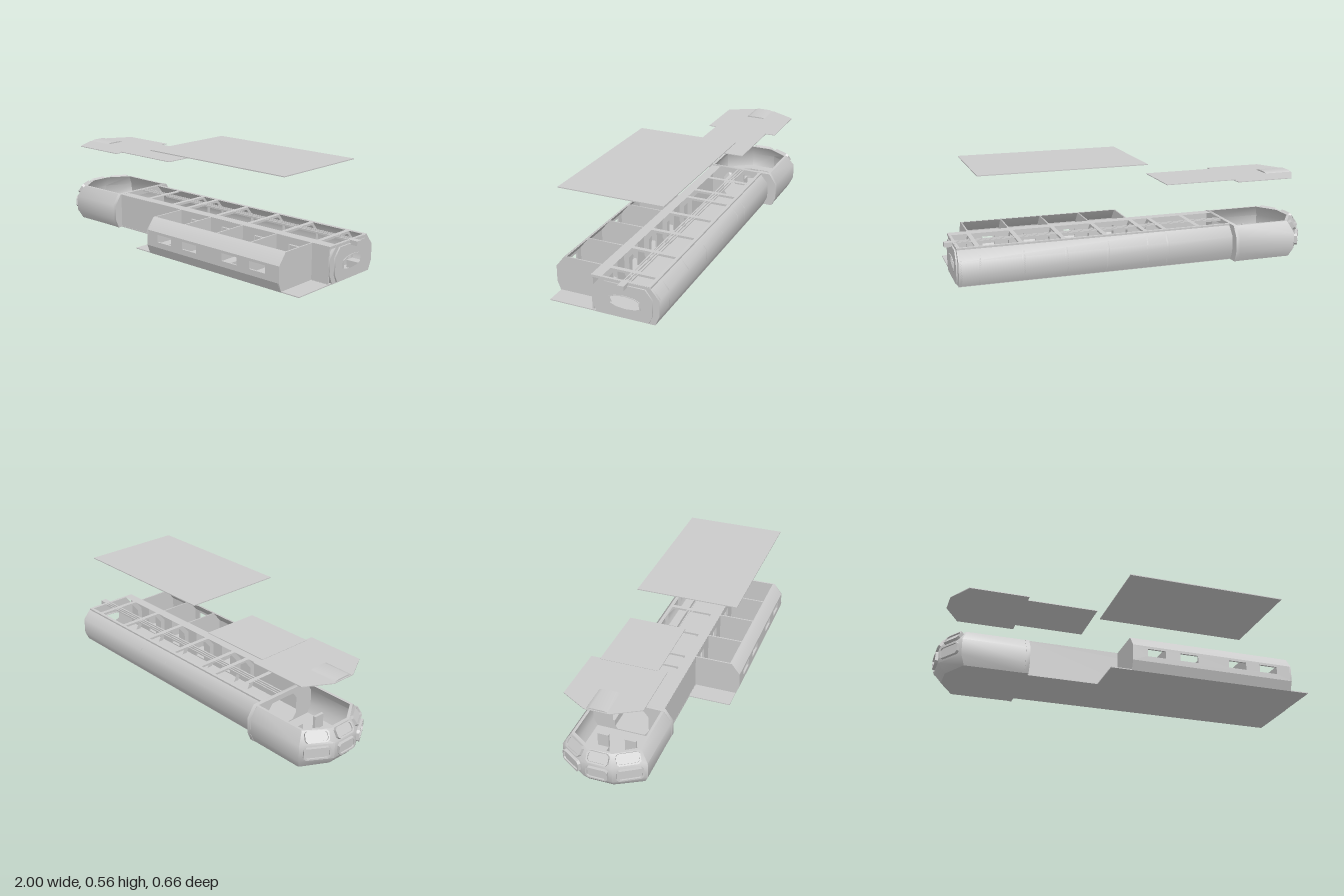
import * as THREE from 'three';
import { toCreasedNormals } from 'three/addons/utils/BufferGeometryUtils.js';

const CZ = -0.105; // centre line of the corridor and cockpit
const grey = new THREE.MeshStandardMaterial({ color: 0xcccccc });
const greyTwoSided = new THREE.MeshStandardMaterial({ color: 0xcccccc, side: THREE.DoubleSide });

export function createModel() {
  const model = new THREE.Group();
  const add = (name, geo, mat = grey) => {
    const m = new THREE.Mesh(geo, mat);
    m.name = name;
    model.add(m);
    return m;
  };
  const box = (name, x0, x1, y0, y1, z0, z1) => {
    const m = add(name, new THREE.BoxGeometry(x1 - x0, y1 - y0, z1 - z0));
    m.position.set((x0 + x1) / 2, (y0 + y1) / 2, (z0 + z1) / 2);
    return m;
  };
  const shapeOf = (pts, holes = []) => {
    const s = new THREE.Shape(pts.map(p => new THREE.Vector2(...p)));
    s.holes = holes.map(h => new THREE.Path(h.map(p => new THREE.Vector2(...p))));
    return s;
  };
  const rect = (x0, x1, y0, y1) => [[x0, y0], [x1, y0], [x1, y1], [x0, y1]];
  const extrude = (shape, depth) => new THREE.ExtrudeGeometry(shape, { depth, bevelEnabled: false });
  // Section of [z, y] points run along x
  const alongX = (name, pts, x0, x1, holes = []) => {
    const flip = l => l.map(([z, y]) => [-z, y]);
    const g = extrude(shapeOf(flip(pts), holes.map(flip)), x1 - x0).rotateY(Math.PI / 2).translate(x0, 0, 0);
    return add(name, toCreasedNormals(g, 1));
  };
  // Plan of [x, z] points raised from y0 to y1
  const slab = (name, pts, y0, y1, holes = []) => {
    const flip = l => l.map(([x, z]) => [x, -z]);
    return add(name, extrude(shapeOf(flip(pts), holes.map(flip)), y1 - y0).rotateX(-Math.PI / 2).translate(0, y0, 0));
  };
  // Symmetric section about the centre line from [halfWidth, y] points, bottom to top
  const mirrored = half => [
    ...half.map(([w, y]) => [CZ + w, y]),
    ...[...half].reverse().map(([w, y]) => [CZ - w, y]),
  ];
  const hullHalf = [[0.155, 0], [0.178, 0.05], [0.178, 0.135], [0.128, 0.195]];
  const innerHalf = [[0.125, 0.006], [0.145, 0.045], [0.145, 0.135], [0.108, 0.181]];

  // Corridor shell: bevelled back wall, flat front wall with cabin doors
  alongX('corridorBackWall', [
    ...hullHalf.map(([w, y]) => [CZ - w, y]),
    ...[...hullHalf].reverse().map(([w, y]) => [CZ - w + 0.012, y]),
  ], -0.55, 0.95);
  box('corridorFloor', -0.55, 0.955, 0, 0.006, CZ - 0.156, 0.077);
  const cabinEdges = [-0.05, 0.175, 0.4, 0.625, 0.85];
  const doors = cabinEdges.slice(0, 4).map(x => rect(x + 0.08, x + 0.145, 0.012, 0.16));
  add('corridorFrontWall', extrude(shapeOf(rect(-0.55, 0.95, 0, 0.195), doors), 0.008)).position.z = 0.068;

  // Open roof lattice and the ribs beneath it
  const bays = [-0.55, -0.355, -0.16, ...cabinEdges, 0.955];
  const openings = [];
  for (let i = 0; i < bays.length - 1; i++) {
    const a = bays[i] + 0.012, b = bays[i + 1] - 0.012;
    openings.push(rect(a, b, CZ - 0.125, CZ - 0.025), rect(a, b, CZ + 0.015, CZ + 0.125));
    for (const s of [-0.014, 0.002]) openings.push(rect(a, b, CZ + s - 0.005, CZ + s + 0.005));
    if (i > 1) alongX('corridorRib', mirrored(hullHalf), bays[i] - 0.007, bays[i] + 0.007, [mirrored(innerHalf)]);
    box('corridorBench', a, b, 0.006, 0.045, CZ - 0.15, CZ - 0.1);
  }
  slab('roofLattice', [[-0.55, CZ - 0.135], [0.955, CZ - 0.135], [0.955, 0.075], [-0.55, 0.075]], 0.183, 0.196, openings);

  // End wall with its hatch
  const hatchHalf = [[0.05, 0.055], [0.08, 0.067], [0.08, 0.107], [0.05, 0.12]];
  const hatch = mirrored(hatchHalf);
  hatch.splice(4, 0, [CZ, 0.125]);
  hatch.push([CZ, 0.05]);
  const grow = k => hatch.map(([z, y]) => [CZ + (z - CZ) * k, 0.0875 + (y - 0.0875) * k]);
  alongX('endWall', mirrored(hullHalf), 0.94, 0.957, [hatch]);
  alongX('endPanel', mirrored(innerHalf), 0.957, 0.965, [hatch]);
  alongX('hatchRim', grow(1.04), 0.93, 0.969, [grow(0.97)]);
  box('couplingHook', 0.94, 1, 0.173, 0.197, CZ - 0.017, CZ + 0.017);

  // Cabin block: bevelled outer wall with windows, end walls and partitions
  box('cabinFloor', -0.16, 0.955, 0, 0.005, 0.07, 0.31);
  const windows = [0.03, 0.21, 0.485, 0.665].map(x => rect(x, x + 0.1, 0.08, 0.121));
  add('cabinOuterWall', extrude(shapeOf(rect(-0.05, 0.85, 0.05, 0.135), windows), 0.01)).position.z = 0.32;
  alongX('cabinLowerBevel', [[0.31, 0], [0.33, 0.05], [0.32, 0.05], [0.3, 0]], -0.05, 0.85);
  alongX('cabinUpperBevel', [[0.33, 0.135], [0.283, 0.195], [0.272, 0.195], [0.32, 0.135]], -0.05, 0.85);
  cabinEdges.forEach((x, i) => {
    const end = i === 0 || i === 4, e = end ? 0 : 0.006;
    const x0 = i === 0 ? x : i === 4 ? x - 0.008 : x - 0.004;
    alongX(end ? 'cabinEndWall' : 'cabinPartition',
      [[0.07, 0], [0.31 - e, 0], [0.33 - e, 0.05], [0.33 - e, 0.135], [0.283 - e, 0.195], [0.07, 0.195]], x0, x0 + 0.008);
    if (i < 4) box('cabinBunk', x + 0.015, x + 0.07, 0.005, 0.045, 0.13, 0.3);
  });

  // Cockpit shell: plan outlines stacked by height, outside and inside
  const levels = [ // y, half width, shoulder x, nose x, nose half width
    [0, 0.203, -0.87, -0.945, 0.066],
    [0.05, 0.226, -0.89, -0.983, 0.076],
    [0.135, 0.226, -0.89, -0.983, 0.076],
    [0.196, 0.185, -0.865, -0.945, 0.066],
  ];
  const outline = ([, w, sx, nx, nw], t = 0) => [
    [-0.55, w - t], [sx + t * 0.6, w - t], [nx + t, nw - t * 0.4],
    [nx + t, -nw + t * 0.4], [sx + t * 0.6, -w + t], [-0.55, -w + t],
  ].map(([x, d]) => [x, CZ + d]);
  const ringPoints = (t) => levels.map(l => outline(l, t).map(([x, z]) => new THREE.Vector3(x, l[0], z)));
  const outer = ringPoints(0), inner = ringPoints(0.014);
  const pos = [];
  const quad = (a, b, c, d) => [a, b, c, a, c, d].forEach(p => pos.push(p.x, p.y, p.z));
  for (let j = 0; j < 5; j++) {
    for (let i = 0; i < 3; i++) {
      quad(outer[i][j], outer[i + 1][j], outer[i + 1][j + 1], outer[i][j + 1]);
      quad(inner[i][j], inner[i][j + 1], inner[i + 1][j + 1], inner[i + 1][j]);
    }
    quad(outer[3][j], inner[3][j], inner[3][j + 1], outer[3][j + 1]);
  }
  const shell = new THREE.BufferGeometry();
  shell.setAttribute('position', new THREE.Float32BufferAttribute(pos, 3));
  add('cockpitShell', toCreasedNormals(shell, 0.8), greyTwoSided);
  slab('cockpitFloor', outline(levels[0]), 0, 0.006);

  // Bulkhead collar with a doorway
  const collarHalf = [[0.206, 0], [0.228, 0.05], [0.228, 0.135], [0.187, 0.197]];
  const doorway = mirrored([[0.075, 0.012], [0.1, 0.045], [0.1, 0.135], [0.075, 0.168]]);
  alongX('cockpitBulkhead', mirrored(collarHalf), -0.56, -0.538, [doorway]);

  // Nose windows: framed panes laid on the five-sided nose
  const noseWindow = (i, j, w, h, shift = 0) => {
    const [a, b, c, d] = [outer[i][j], outer[i][j + 1], outer[i + 1][j + 1], outer[i + 1][j]];
    const centre = a.clone().add(b).add(c).add(d).multiplyScalar(0.25);
    const u = b.clone().sub(a).normalize();
    const up = d.clone().add(c).sub(a).sub(b);
    up.addScaledVector(u, -up.dot(u)).normalize();
    const n = u.clone().cross(up);
    // keep the frame facing out of the nose
    if (n.x > 0) { n.negate(); u.negate(); }
    centre.addScaledVector(up, shift);
    const oct = (W, H, k) => [[-W + k, -H], [W - k, -H], [W, -H + k], [W, H - k], [W - k, H], [-W + k, H], [-W, H - k], [-W, -H + k]];
    const place = (name, geo, off) => add(name, geo.applyMatrix4(
      new THREE.Matrix4().makeBasis(u, up, n).setPosition(centre.clone().addScaledVector(n, off))));
    place('noseWindowFrame', extrude(shapeOf(oct(w, h, 0.012), [oct(w - 0.008, h - 0.008, 0.009)]), 0.022), -0.006);
    place('noseWindowPane', extrude(shapeOf(oct(w - 0.007, h - 0.007, 0.009)), 0.012), -0.004);
  };
  for (const j of [1, 2, 3]) {
    noseWindow(1, j, j === 2 ? 0.057 : 0.068, 0.032);
    noseWindow(2, j, j === 2 ? 0.057 : 0.06, 0.03, 0.002);
  }

  // Cockpit console and seats
  slab('cockpitConsole', [[-0.93, CZ - 0.07], [-0.87, CZ - 0.16], [-0.82, CZ - 0.16], [-0.87, CZ - 0.05],
    [-0.87, CZ + 0.05], [-0.82, CZ + 0.16], [-0.87, CZ + 0.16], [-0.93, CZ + 0.07]], 0.006, 0.07);
  for (const s of [-1, 1]) {
    const z = CZ + s * 0.075;
    box('pilotSeat', -0.8, -0.74, 0.006, 0.045, z - 0.03, z + 0.03);
    box('pilotSeatBack', -0.745, -0.73, 0.04, 0.12, z - 0.03, z + 0.03);
  }

  // Lifted roof panels
  box('cabinRoof', -0.05, 0.845, 0.558, 0.563, -0.258, 0.3);
  slab('cockpitRoof', [[-0.95, CZ + 0.065], [-0.87, CZ + 0.205], [-0.55, CZ + 0.205], [-0.55, CZ - 0.205],
    [-0.87, CZ - 0.205], [-0.95, CZ - 0.065]], 0.44, 0.444);
  box('corridorRoof', -0.56, -0.16, 0.442, 0.446, -0.258, 0.055);
  alongX('roofFairing', mirrored([[0.056, 0.443], [0.053, 0.446], [0.035, 0.451]]), -0.945, -0.79);
  return model;
}
